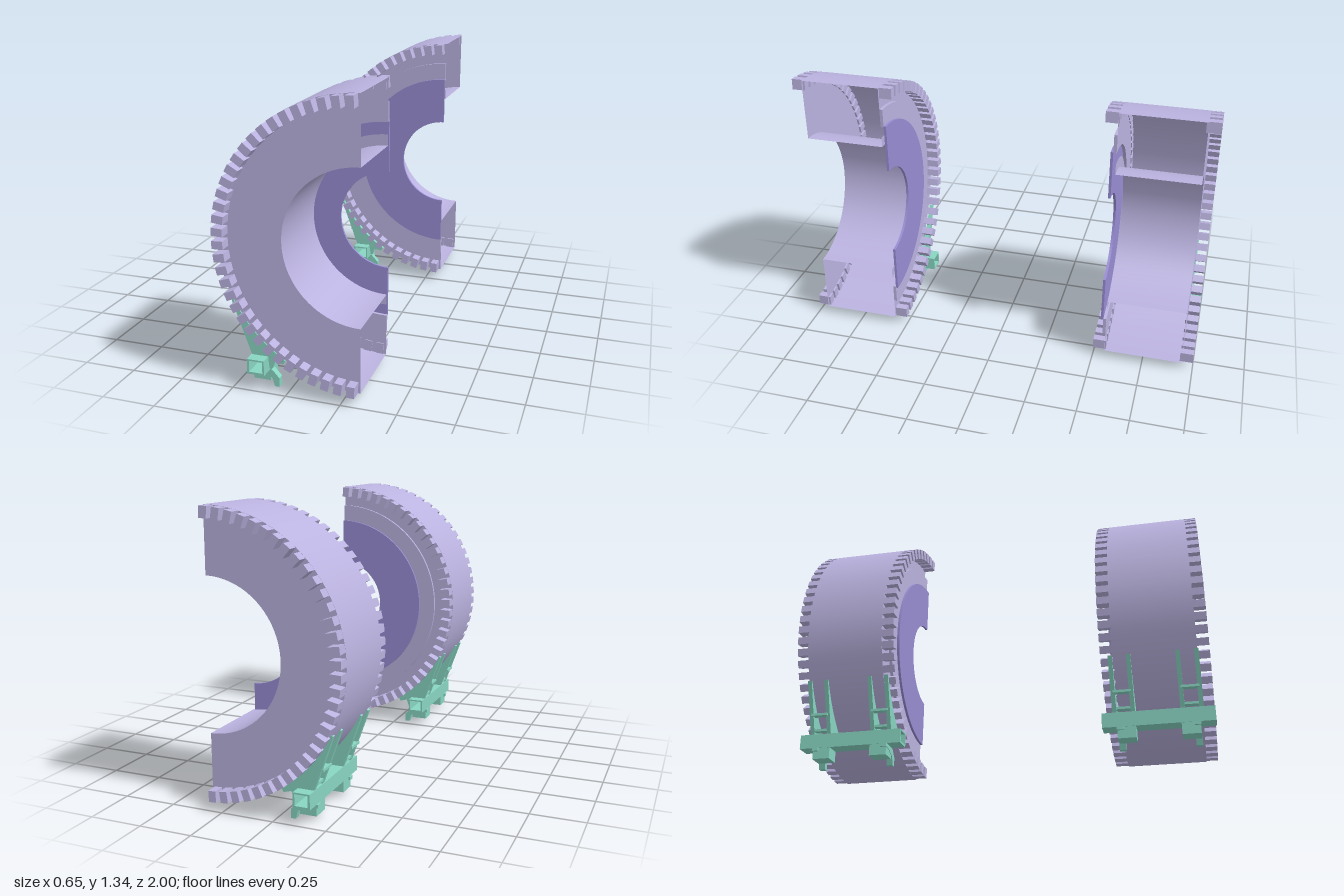
import * as THREE from 'three';

const mat = (color) => new THREE.MeshStandardMaterial({ color, side: THREE.DoubleSide });
const lilac = mat(0xbbb3e0), violet = mat(0x988dd3), mint = mat(0x88d5c2);
const CX = 0.325, CY = 0.69, R = 0.65, RI = 0.35, SEG = 48;

function add(group, name, geo, material, x = 0, y = 0, z = 0) {
  const mesh = new THREE.Mesh(geo, material);
  mesh.name = name;
  mesh.position.set(x, y, z);
  group.add(mesh);
  return mesh;
}

// open half cylinder around z, bulging towards -x
function halfShell(r, depth) {
  return new THREE.CylinderGeometry(r, r, depth, SEG, 1, true, Math.PI, Math.PI).rotateX(Math.PI / 2);
}

function halfWall(r0, r1) {
  return new THREE.RingGeometry(r0, r1, SEG, 1, Math.PI / 2, Math.PI);
}

function extrude(shape, depth, curveSegments = 12) {
  return new THREE.ExtrudeGeometry(shape, { depth, bevelEnabled: false, curveSegments })
    .translate(0, 0, -depth / 2);
}

function halfPlate(r0, r1, depth) {
  const s = new THREE.Shape();
  s.absarc(0, 0, r1, Math.PI / 2, Math.PI * 1.5, false);
  s.absarc(0, 0, r0, Math.PI * 1.5, Math.PI / 2, true);
  return extrude(s, depth, SEG);
}

const polygon = (pts) => new THREE.Shape(pts.map(([x, y]) => new THREE.Vector2(x, y)));

// half of a hollow toothed drum; s is the side along z
function halfDrum(s) {
  const g = new THREE.Group();
  g.name = 'halfDrum';
  g.position.set(CX, CY, 0);
  add(g, 'outerShell', halfShell(R, 0.385), lilac, 0, 0, s * 0.7525);
  add(g, 'innerShell', halfShell(RI, 0.385), lilac, 0, 0, s * 0.7525);
  add(g, 'outerWall', halfWall(RI, R), lilac, 0, 0, s * 0.945);
  add(g, 'innerWall', halfWall(0.545, R), lilac, 0, 0, s * 0.56);
  add(g, 'innerWallHub', halfWall(RI, 0.4), lilac, 0, 0, s * 0.56);
  add(g, 'raisedRing', halfPlate(0.455, 0.545, 0.015), lilac, 0, 0, s * 0.5525);
  add(g, 'disc', halfPlate(0.225, 0.46, 0.012), violet, 0, 0, s * 0.539);

  // teeth on both rims
  const teeth = new THREE.Group();
  teeth.name = 'teeth';
  g.add(teeth);
  const count = 34;
  const toothGeo = new THREE.BoxGeometry(0.052, 0.036, 0.065);
  for (let i = 0; i < count; i++) {
    const a = Math.PI / 2 + (i + 0.5) * Math.PI / count;
    for (const z of [0.5325, 0.9675]) {
      const t = add(teeth, 'tooth', toothGeo, lilac, 0.623 * Math.cos(a), 0.623 * Math.sin(a), s * z);
      t.rotation.z = a;
    }
  }
  return g;
}

// support bracket under the drum
function bracket(s) {
  const g = new THREE.Group();
  g.name = 'bracket';

  // hollow square beam
  const tube = polygon([[-0.178, 0.08], [-0.098, 0.08], [-0.098, 0.15], [-0.178, 0.15]]);
  tube.holes.push(new THREE.Path([[-0.168, 0.09], [-0.168, 0.143], [-0.106, 0.143], [-0.106, 0.09]]
    .map(([x, y]) => new THREE.Vector2(x, y))));
  add(g, 'beam', extrude(tube, 0.515), mint, 0, 0, s * 0.7425);

  // fins reaching up the drum
  const pts = [[-0.265, 0.4], [-0.175, 0.15], [-0.1, 0.15], [-0.092, 0.092], [-0.082, 0.092],
    [-0.068, 0.132], [-0.03, 0.122], [-0.02, 0.14]];
  for (let i = 0; i <= 8; i++) {
    const a = THREE.MathUtils.lerp(4.16, 3.6, i / 8);
    pts.push([CX + 0.648 * Math.cos(a), CY + 0.648 * Math.sin(a)]);
  }
  const fin = extrude(polygon(pts), 0.02);
  for (const z of [0.545, 0.63, 0.855, 0.94]) add(g, 'fin', fin, mint, 0, 0, s * z);

  // rungs between paired fins
  for (const z of [0.5875, 0.8975]) {
    for (const [x, y] of [[-0.2, 0.24], [-0.165, 0.17]]) {
      add(g, 'rung', new THREE.BoxGeometry(0.03, 0.012, 0.085), mint, x, y, s * z);
    }
  }

  // feet: hooks and the blocks beside them
  const hook = extrude(polygon([[-0.185, 0.08], [-0.09, 0.08], [-0.055, 0.042], [-0.055, 0],
    [-0.078, 0], [-0.088, 0.038], [-0.14, 0.062], [-0.185, 0.064]]), 0.03);
  for (const d of [-1, 1]) {
    add(g, 'hook', hook, mint, 0, 0, s * (0.7425 + d * 0.175));
    add(g, 'footBlock', new THREE.BoxGeometry(0.078, 0.055, 0.085), mint, -0.137, 0.0525, s * (0.7425 + d * 0.145));
  }
  return g;
}

export function createModel() {
  const model = new THREE.Group();
  model.name = 'halfDrumPair';
  for (const s of [1, -1]) {
    const side = new THREE.Group();
    side.name = s > 0 ? 'frontAssembly' : 'backAssembly';
    side.add(halfDrum(s), bracket(s));
    model.add(side);
  }
  return model;
}
